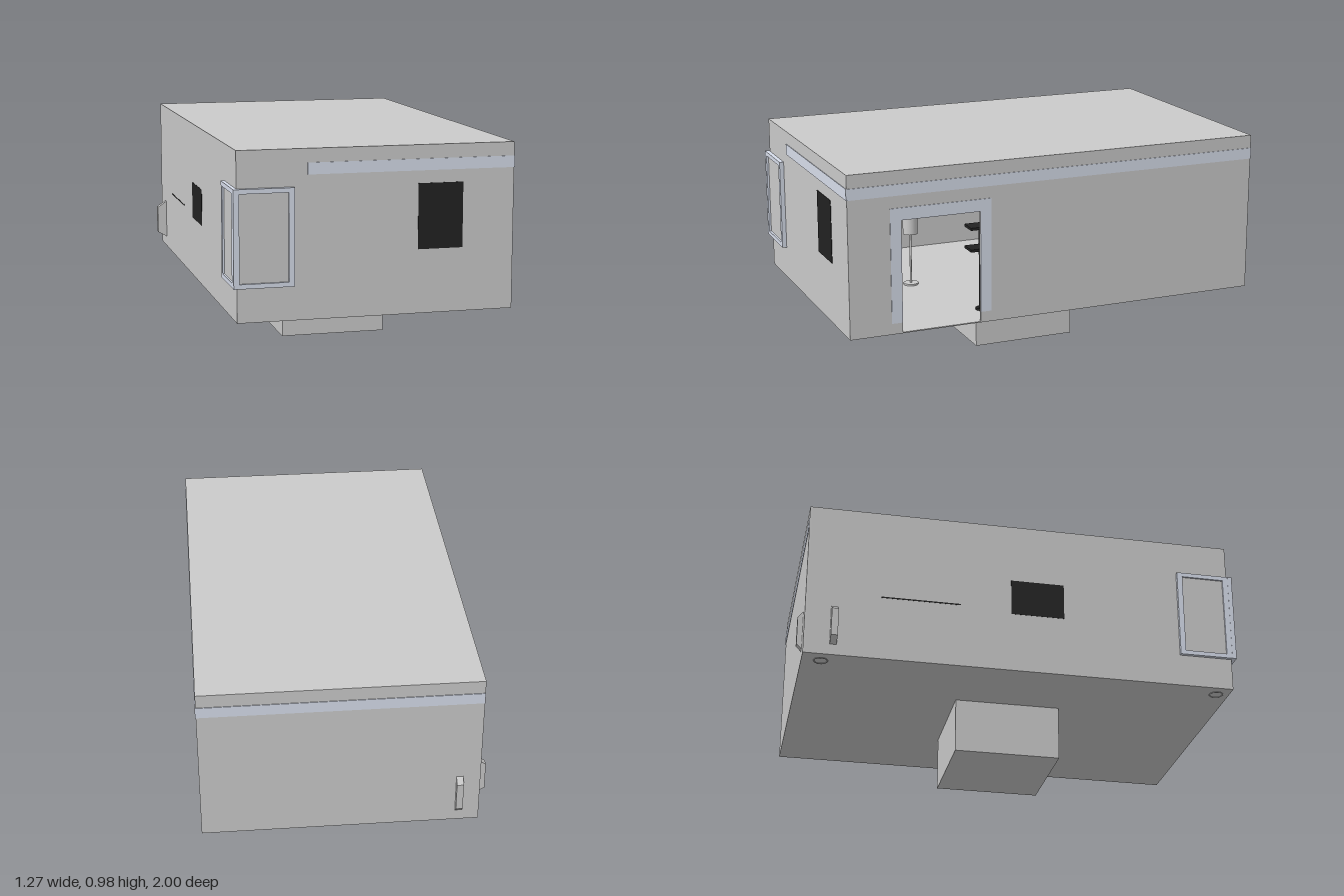
import * as THREE from 'three';

const grey = new THREE.MeshStandardMaterial({ color: 0xcccccc, side: THREE.DoubleSide });
const pale = new THREE.MeshStandardMaterial({ color: 0xd8deec });
const dark = new THREE.MeshStandardMaterial({ color: 0x222222 });

// Room extents
const X0 = -0.59, X1 = 0.63, Y0 = 0.25, Y1 = 0.98, Z0 = -0.975, Z1 = 0.98, T = 0.01;

export function createModel() {
  const root = new THREE.Group();
  root.name = 'roomOnPedestal';

  const add = (name, geo, mat = grey, parent = root) => {
    const m = new THREE.Mesh(geo, mat);
    m.name = name;
    parent.add(m);
    return m;
  };
  // Box given by its minimum and maximum on each axis
  const box = (name, x0, x1, y0, y1, z0, z1, mat = grey, parent = root) => {
    const m = add(name, new THREE.BoxGeometry(x1 - x0, y1 - y0, z1 - z0), mat, parent);
    m.position.set((x0 + x1) / 2, (y0 + y1) / 2, (z0 + z1) / 2);
    return m;
  };
  const cyl = (name, r, y0, y1, x, z, mat = grey, parent = root) => {
    const m = add(name, new THREE.CylinderGeometry(r, r, y1 - y0, 24), mat, parent);
    m.position.set(x, (y0 + y1) / 2, z);
    return m;
  };
  // Polygon of [u, y] points extruded along its normal
  const slab = (points, depth) => new THREE.ExtrudeGeometry(
    new THREE.Shape(points.map(p => new THREE.Vector2(...p))), { depth, bevelEnabled: false });

  // Pedestal and hollow shell
  box('pedestal', -0.225, 0.265, 0, Y0, -0.235, 0.25);
  box('floor', X0, X1, Y0, Y0 + 0.005, Z0, Z1);
  box('roof', X0, X1, Y1 - T, Y1, Z0, Z1);
  box('frontWall', X0, X1, Y0, Y1, Z1 - T, Z1);
  box('backWall', X0, X1, Y0, Y1, Z0, Z0 + T);
  box('rightWall', X0, X0 + T, Y0, Y1, Z0, Z1);

  // Left wall with the doorway notched out of it
  const doorWall = add('doorWall', slab([
    [-Z1, Y0], [-0.74, Y0], [-0.74, 0.76], [-0.375, 0.76], [-0.375, Y0],
    [-Z0, Y0], [-Z0, Y1], [-Z1, Y1]], T));
  doorWall.rotation.y = Math.PI / 2;
  doorWall.position.x = X1 - T;

  // Pale door surround
  const E = 0.003;
  const surround = new THREE.Group();
  surround.name = 'doorSurround';
  root.add(surround);
  box('doorTrimFront', X1, X1 + E, 0.3, 0.815, 0.74, 0.79, pale, surround);
  box('doorTrimBack', X1, X1 + E, 0.3, 0.815, 0.325, 0.375, pale, surround);
  box('doorTrimTop', X1, X1 + E, 0.76, 0.815, 0.375, 0.74, pale, surround);

  // Pale stripe around three sides
  box('frontStripe', -0.285, X1, 0.87, 0.92, Z1, Z1 + E, pale);
  box('sideStripe', X1, X1 + E, 0.87, 0.92, Z0, Z1, pale);
  box('backStripe', X0, X1, 0.87, 0.92, Z0 - E, Z0, pale);

  // Framed panels on both sides of the front right corner
  const framedPanel = (name, width, depth) => {
    const g = new THREE.Group();
    g.name = name;
    const w = width / 2;
    const frame = new THREE.Shape([[-w, 0.4], [w, 0.4], [w, 0.82], [-w, 0.82]].map(p => new THREE.Vector2(...p)));
    const i = w - 0.025;
    frame.holes.push(new THREE.Path([[-i, 0.42], [-i, 0.8], [i, 0.8], [i, 0.42]].map(p => new THREE.Vector2(...p))));
    add('panelFrame', new THREE.ExtrudeGeometry(frame, { depth, bevelEnabled: false }), pale, g);
    box('panelFace', -i, i, 0.42, 0.8, 0, depth * 0.5, grey, g);
    root.add(g);
    return g;
  };
  framedPanel('frontPanel', 0.262, 0.02).position.set(-0.476, 0, Z1);
  const side = framedPanel('sidePanel', 0.245, 0.016);
  side.rotation.y = -Math.PI / 2;
  side.position.set(X0, 0, 0.8575);

  // Tapered handles near the back right corner
  const handle = (name, depth) => add(name, slab([[0, 0.3], [depth, 0.325], [depth, 0.455], [0, 0.485]], 0.03));
  const sideHandle = handle('sideHandle', 0.045);
  sideHandle.rotation.y = Math.PI;
  sideHandle.position.set(X0, 0, -0.83);
  const backHandle = handle('backHandle', 0.024);
  backHandle.rotation.y = Math.PI / 2;
  backHandle.position.set(-0.515, 0, Z0);

  // Dark framed screens set into the walls
  box('frontScreen', 0.2, 0.4, 0.53, 0.815, Z1 - 0.025, Z1 + 0.002, dark);
  box('frontScreenFace', 0.21, 0.39, 0.54, 0.805, Z1 - 0.027, Z1 - 0.024);
  box('sideScreen', X0 - 0.001, X0 + 0.025, 0.53, 0.7, -0.05, 0.195, dark);
  box('sideRail', X0 - 0.001, X0 + 0.015, 0.55, 0.556, -0.64, -0.28, dark);

  // Small rings under the floor
  for (const z of [-0.89, 0.92]) {
    const ring = add('floorRing', new THREE.TorusGeometry(0.03, 0.003, 6, 24));
    ring.rotation.x = Math.PI / 2;
    ring.position.set(-0.52, Y0, z);
  }

  // Counter along the far wall, and a lamp in front of it
  box('counter', X0 + T, -0.3, 0.505, 0.52, 0.2, 0.97);
  const lamp = new THREE.Group();
  lamp.name = 'lamp';
  root.add(lamp);
  cyl('lampBase', 0.035, 0.255, 0.263, 0, 0.475, grey, lamp);
  cyl('lampStem', 0.005, 0.26, 0.51, 0, 0.475, grey, lamp);
  cyl('lampShade', 0.035, 0.505, 0.6, 0, 0.475, grey, lamp);

  // Shelving inside the doorway
  const shelves = new THREE.Group();
  shelves.name = 'shelving';
  root.add(shelves);
  for (const y of [0.26, 0.38, 0.5, 0.6]) box('shelf', 0.2, 0.5, y, y + 0.012, 0.05, 0.17, grey, shelves);
  for (const x of [0.19, 0.5]) box('shelfSide', x, x + 0.01, 0.255, 0.612, 0.05, 0.17, grey, shelves);

  // Dark stand with two arms
  const stand = new THREE.Group();
  stand.name = 'stand';
  root.add(stand);
  cyl('standPole', 0.01, 0.255, 0.66, 0.475, 0.31, dark, stand);
  cyl('standFoot', 0.025, 0.255, 0.265, 0.475, 0.31, dark, stand);
  for (const y of [0.55, 0.65]) box('standArm', 0.465, 0.545, y, y + 0.012, 0.3, 0.385, dark, stand);

  return root;
}
